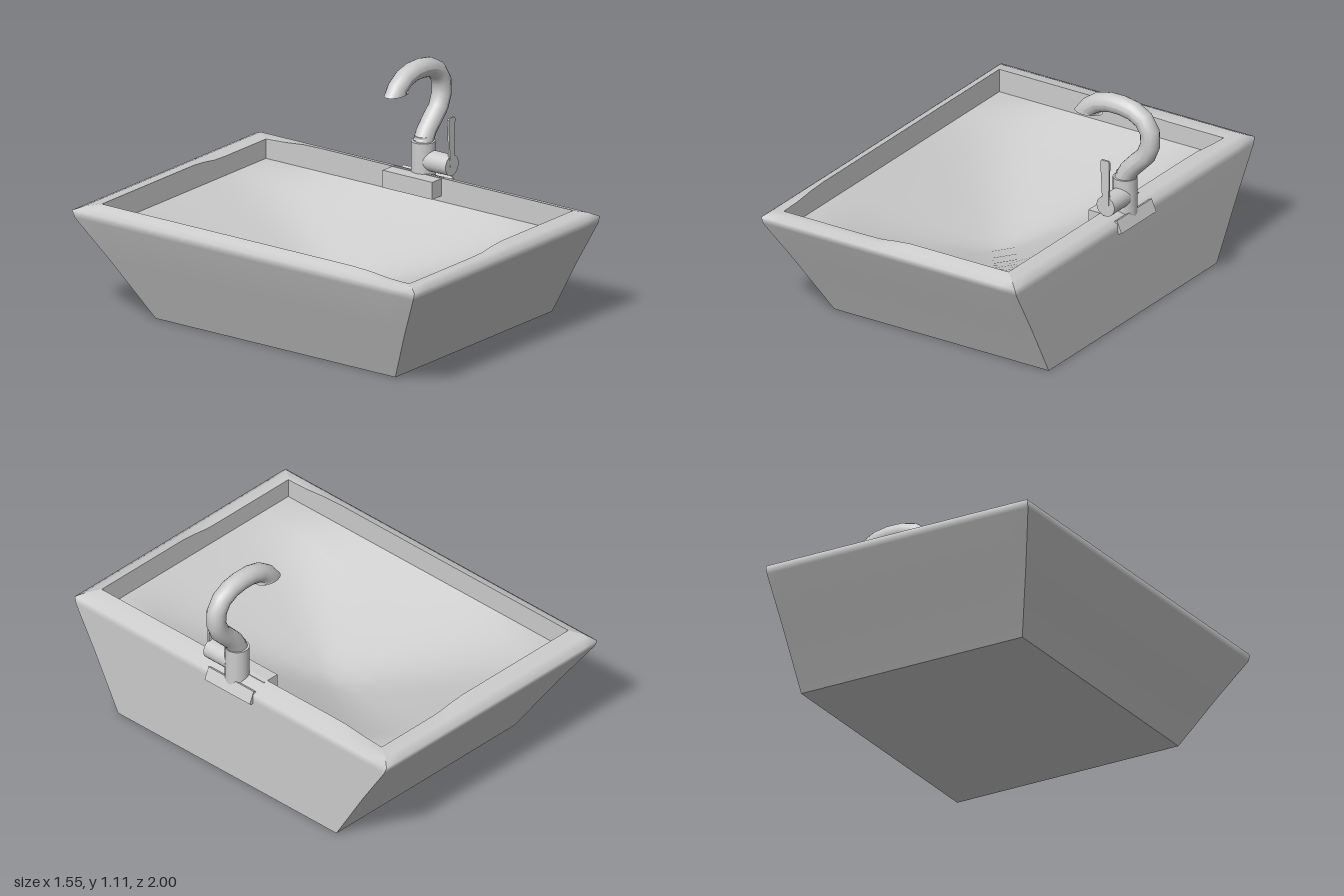
import * as THREE from 'three';

const material = new THREE.MeshStandardMaterial({ color: 0xcccccc, side: THREE.DoubleSide });
const { lerp, smoothstep } = THREE.MathUtils;

function add(parent, name, geometry, x = 0, y = 0, z = 0) {
  const mesh = new THREE.Mesh(geometry, material);
  mesh.name = name;
  mesh.position.set(x, y, z);
  parent.add(mesh);
  return mesh;
}

// Smooth surface patch from point(u, v) -> [x, y, z]
function patch(nu, nv, point) {
  const positions = [], index = [];
  for (let j = 0; j <= nv; j++)
    for (let i = 0; i <= nu; i++) positions.push(...point(i / nu, j / nv));
  for (let j = 0; j < nv; j++)
    for (let i = 0; i < nu; i++) {
      const a = j * (nu + 1) + i, d = a + nu + 1;
      index.push(a, a + 1, d + 1, a, d + 1, d);
    }
  const g = new THREE.BufferGeometry();
  g.setAttribute('position', new THREE.Float32BufferAttribute(positions, 3));
  g.setIndex(index);
  g.computeVertexNormals();
  return g;
}

// The lip sinks slightly along half of each short side, on opposite corners
const dip = (x, z) => 0.02 * smoothstep(-x * Math.sign(z), 0, 0.2) * smoothstep(Math.abs(z), 0.6, 0.87);

// Four sharp-cornered sides running through rectangular levels [y, x0, x1, z0, z1]
function sides(parent, name, levels, lipLevel) {
  const n = levels.length - 1;
  const corner = ([, x0, x1, z0, z1], k) => [[x1, z1], [x1, z0], [x0, z0], [x0, z1]][k % 4];
  for (let s = 0; s < 4; s++) {
    add(parent, name, patch(16, n, (u, v) => {
      const k = Math.round(v * n), a = corner(levels[k], s), b = corner(levels[k], s + 1);
      const x = lerp(a[0], b[0], u), z = lerp(a[1], b[1], u);
      return [x, levels[k][0] - (k === lipLevel ? dip(x, z) : 0), z];
    }));
  }
}

function createBasin() {
  const basin = new THREE.Group();
  basin.name = 'basin';
  const foot = [0, -0.56, 0.64, -0.68, 0.72];
  const lip = [0.56, -0.71, 0.545, -0.88, 0.915];
  const floorEdge = [0.445, ...lip.slice(1)];
  sides(basin, 'outerWallAndRim', [foot, [0.28, -0.683, 0.64, -0.85, 0.87],
    [0.49, -0.777, 0.64, -0.987, 0.99], [0.525, -0.78, 0.638, -1, 1],
    [0.545, -0.755, 0.6, -0.955, 0.965], lip], 5);
  sides(basin, 'innerWall', [lip, floorEdge], 0);

  const [, x0, x1, z0, z1] = lip;
  // Floor falling evenly from the inner walls to the middle, rounded at the corners
  add(basin, 'bowlFloor', patch(16, 16, (u, v) => {
    const r = Math.min(1, ((2 * u - 1) ** 4 + (2 * v - 1) ** 4) ** 0.25);
    return [lerp(x0, x1, u), 0.445 - 0.28 * (1 - r ** 1.2), lerp(z1, z0, v)];
  }));
  add(basin, 'underside', patch(1, 1, (u, v) =>
    [lerp(foot[1], foot[2], u), 0, lerp(foot[3], foot[4], v)]));
  return basin;
}

function createSpout() {
  const spout = new THREE.Group();
  spout.name = 'spout';
  const radius = 0.047, mouthX = 0.383, mouthY = 0.985, mouthHalf = 0.073;
  const path = new THREE.CatmullRomCurve3([
    [0.582, 0.69], [0.625, 0.765], [0.7, 0.835], [0.732, 0.93], [0.707, 1.005],
    [0.65, 1.047], [0.58, 1.063], [0.51, 1.064], [0.438, 1.046], [0.385, 1.007], [0.345, 0.96],
  ].map(([x, y]) => new THREE.Vector3(x, y, 0)));
  const segments = 12, radial = 20, row = radial + 1;
  const tube = new THREE.TubeGeometry(path, segments, radius, radial);
  // Cut the end level: trim the ring before last, lay the last one as a wide oval mouth
  const p = tube.attributes.position, reach = radius * Math.abs(path.getTangent(1).x);
  for (let i = (segments - 1) * row; i < p.count; i++) {
    if (i >= segments * row) {
      p.setX(i, mouthX - mouthHalf * (p.getY(i) - 0.96) / reach);
      p.setY(i, mouthY);
    } else p.setY(i, Math.max(mouthY, p.getY(i)));
  }
  tube.computeVertexNormals();
  add(spout, 'spoutTube', tube);
  const mouth = add(spout, 'spoutMouth', new THREE.CircleGeometry(radius, radial), mouthX, mouthY, 0);
  mouth.rotation.x = Math.PI / 2;
  mouth.scale.x = mouthHalf / radius;
  return spout;
}

function createTap() {
  const tap = new THREE.Group();
  tap.name = 'tap';
  tap.position.z = 0.006;

  // Saddle clamped over the rim: slanted lip outside, block inside
  const saddleLip = add(tap, 'saddleLip', new THREE.BoxGeometry(0.02, 0.065, 0.29), 0.639, 0.508, -0.006);
  saddleLip.rotation.z = 0.42;
  add(tap, 'saddleBlock', new THREE.BoxGeometry(0.09, 0.085, 0.29), 0.52, 0.515, -0.006);

  add(tap, 'tapBody', new THREE.CylinderGeometry(0.058, 0.058, 0.19, 24), 0.588, 0.61, 0);
  add(tap, 'spoutCollar', new THREE.CylinderGeometry(0.04, 0.04, 0.04, 24), 0.585, 0.71, 0);
  tap.add(createSpout());

  // Side valve with a thin upright lever
  const valve = add(tap, 'valve', new THREE.CylinderGeometry(0.05, 0.05, 0.14, 24), 0.59, 0.615, 0.097);
  valve.rotation.x = Math.PI / 2;
  const lever = new THREE.Shape([[0.574, 0.61], [0.608, 0.61], [0.612, 0.843], [0.606, 0.85],
    [0.568, 0.85], [0.562, 0.843]].map(([x, y]) => new THREE.Vector2(x, y)));
  add(tap, 'lever', new THREE.ExtrudeGeometry(lever, { depth: 0.01, bevelEnabled: false }), 0, 0, 0.159);
  return tap;
}

export function createModel() {
  const model = new THREE.Group();
  model.name = 'washbasin';
  model.add(createBasin(), createTap());
  return model;
}
